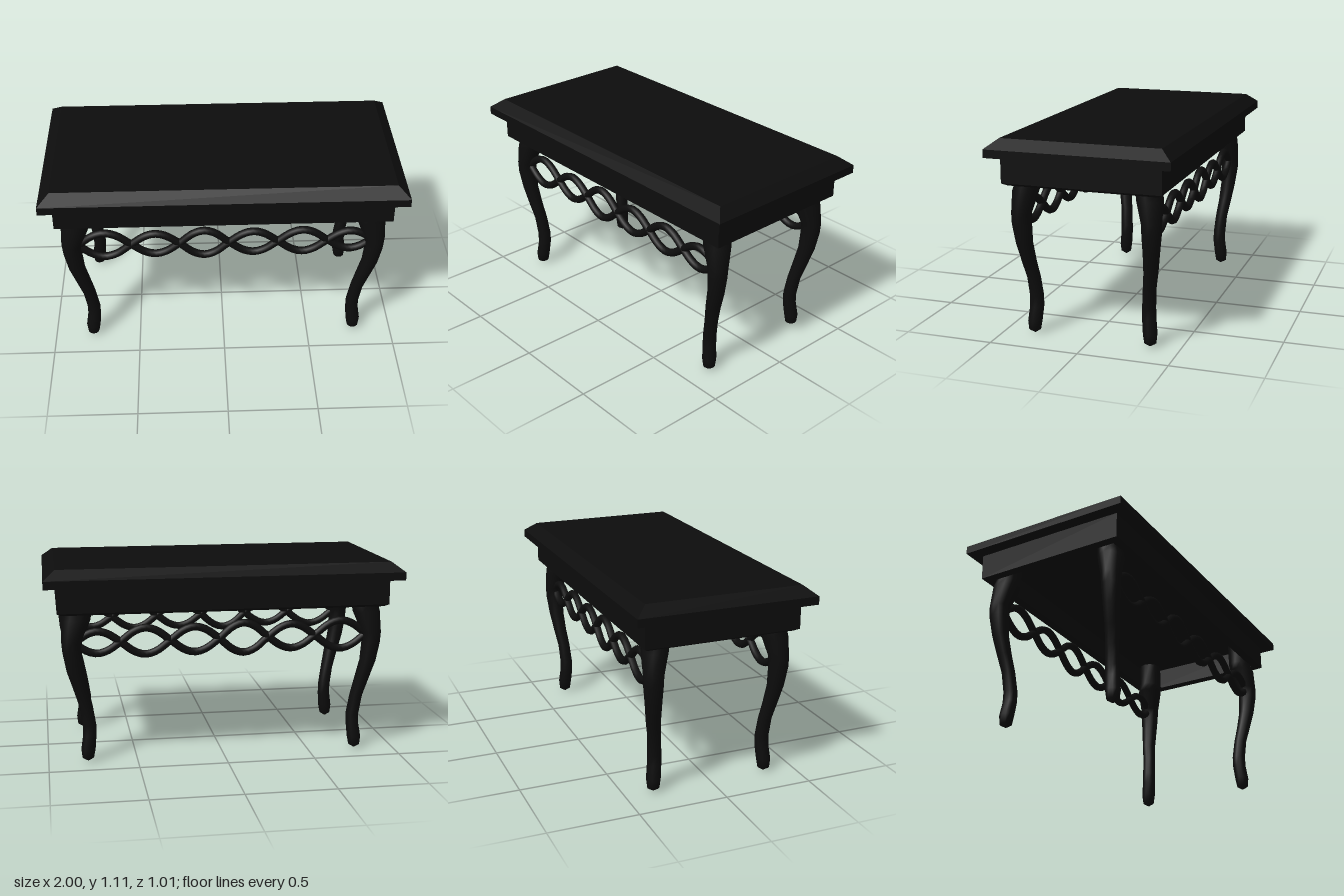
import * as THREE from 'three';

const material = new THREE.MeshStandardMaterial({ color: 0x0d0d0d });

// Skins a list of equal-length rings, ordered so that the outside faces out.
function loft(rings, flat) {
  const n = rings[0].length;
  const index = [];
  for (let r = 0; r < rings.length - 1; r++) {
    for (let i = 0; i < n; i++) {
      const a = r * n + i, b = r * n + (i + 1) % n;
      index.push(a, a + n, b, b, a + n, b + n);
    }
  }
  let geo = new THREE.BufferGeometry();
  geo.setAttribute('position', new THREE.Float32BufferAttribute(rings.flat(2), 3));
  geo.setIndex(index);
  if (flat) geo = geo.toNonIndexed();
  geo.computeVertexNormals();
  return geo;
}

const rectRing = ([hx, hz, y]) =>
  [[1, 1], [-1, 1], [-1, -1], [1, -1]].map(([sx, sz]) => [sx * hx, y, sz * hz]);

function addMesh(group, name, geo) {
  const mesh = new THREE.Mesh(geo, material);
  mesh.name = name;
  group.add(mesh);
}

// Leg sections: y, inner x, outer x, inner z, outer z
const legSections = [
  [0.00, 0.776, 0.780, 0.330, 0.334],
  [0.02, 0.745, 0.810, 0.300, 0.367],
  [0.07, 0.735, 0.816, 0.292, 0.372],
  [0.15, 0.728, 0.803, 0.284, 0.363],
  [0.21, 0.728, 0.803, 0.284, 0.361],
  [0.32, 0.745, 0.820, 0.293, 0.367],
  [0.42, 0.765, 0.850, 0.305, 0.385],
  [0.53, 0.790, 0.885, 0.311, 0.402],
  [0.64, 0.798, 0.905, 0.308, 0.416],
  [0.70, 0.795, 0.910, 0.306, 0.417],
  [0.82, 0.745, 0.905, 0.273, 0.417],
  [0.86, 0.740, 0.895, 0.267, 0.405],
  [1.01, 0.740, 0.885, 0.267, 0.400],
];

function legGeometry(sx, sz) {
  const sides = 12;
  return loft(legSections.map(([y, x0, x1, z0, z1]) =>
    Array.from({ length: sides }, (_, i) => {
      const a = (i / sides) * Math.PI * 2;
      return [
        sx * (x0 + x1) / 2 + Math.cos(a) * (x1 - x0) / 2,
        y,
        sz * (z0 + z1) / 2 + Math.sin(a) * (z1 - z0) / 2,
      ];
    })), false);
}

// One wavy strand: crossings on the centre line, alternating crests between
function strandGeometry(sign, z) {
  const crossings = [-0.82, -0.52, -0.25, 0.03, 0.305, 0.585, 0.84];
  const heights = [0.082, 0.07, 0.085, 0.072, 0.075, 0.062];
  const points = [];
  crossings.forEach((x, i) => {
    points.push(new THREE.Vector3(x, 0.69, z));
    if (i < heights.length) {
      const w = crossings[i + 1] - x;
      const s = sign * (i % 2 ? -1 : 1);
      for (const t of [0.28, 0.5, 0.72]) {
        points.push(new THREE.Vector3(x + w * t, 0.69 + s * heights[i] * Math.sin(Math.PI * t), z));
      }
    }
  });
  const curve = new THREE.CatmullRomCurve3(points);
  return new THREE.TubeGeometry(curve, 72, 0.022, 8, false);
}

export function createModel() {
  const table = new THREE.Group();
  table.name = 'table';

  // Bevelled top with the hollow apron frame beneath it
  addMesh(table, 'topAndApron', loft([
    [0, 0, 1.0],
    [0.88, 0.39, 1.0],
    [0.88, 0.39, 0.87],
    [0.90, 0.41, 0.855],
    [0.905, 0.415, 0.855],
    [0.93, 0.44, 0.87],
    [0.93, 0.44, 1.015],
    [1.0, 0.505, 1.015],
    [1.0, 0.505, 1.06],
    [0.935, 0.44, 1.112],
    [0, 0, 1.11],
  ].map(rectRing), true));

  for (const [sz, end] of [[1, 'front'], [-1, 'back']]) {
    for (const [sx, side] of [[1, 'Left'], [-1, 'Right']]) {
      addMesh(table, `${end}${side}Leg`, legGeometry(sx, sz));
    }
    // Interlaced stretcher between the legs on this side
    const stretcher = new THREE.Group();
    stretcher.name = `${end}Stretcher`;
    addMesh(stretcher, 'strandA', strandGeometry(1, sz * 0.36));
    addMesh(stretcher, 'strandB', strandGeometry(-1, sz * 0.36));
    table.add(stretcher);
  }
  return table;
}
